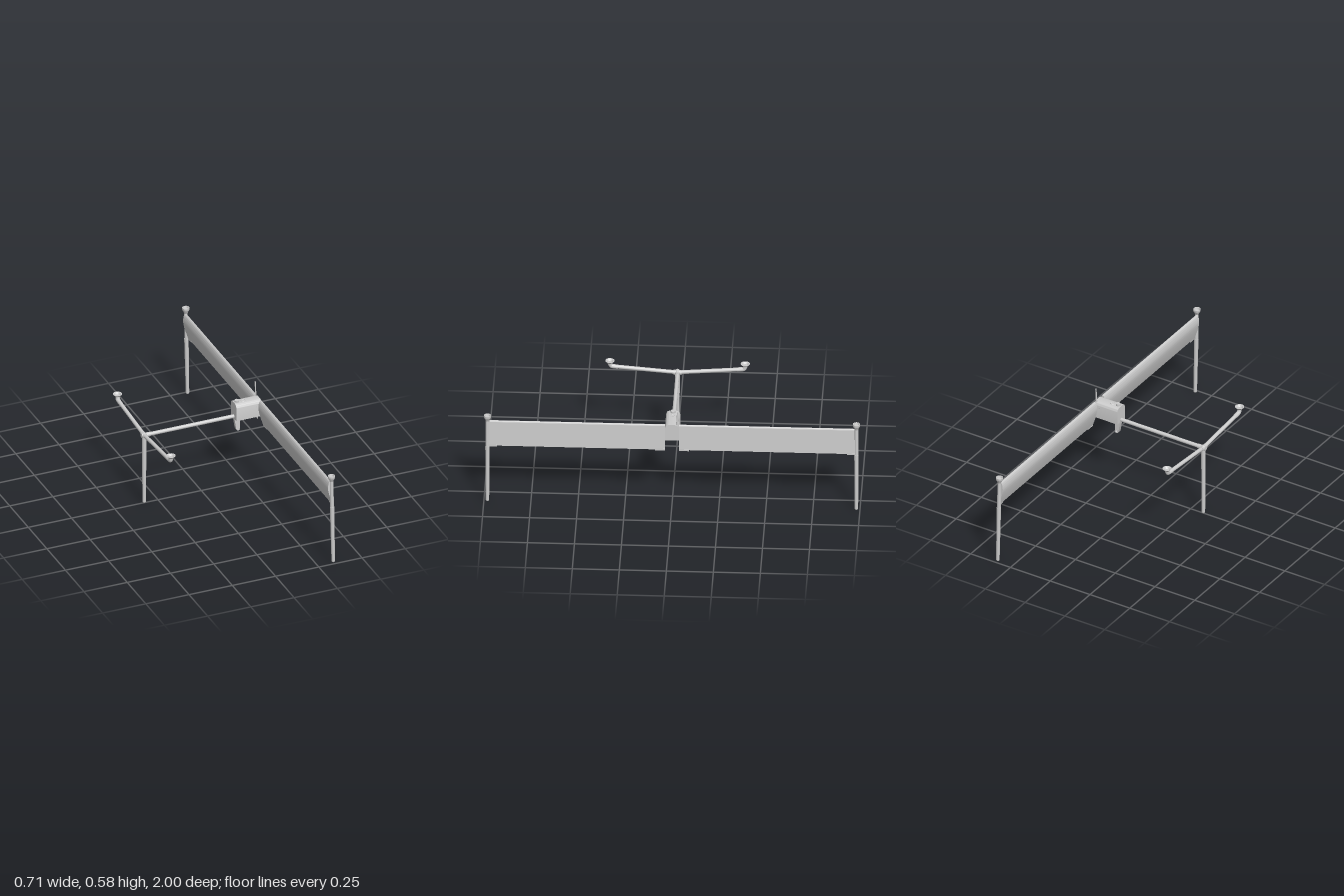
import * as THREE from 'three';
import { toCreasedNormals } from 'three/addons/utils/BufferGeometryUtils.js';

const grey = new THREE.MeshStandardMaterial({ color: 0xcccccc, side: THREE.DoubleSide });
const V = (x, y, z) => new THREE.Vector3(x, y, z);

function add(parent, name, geometry, x = 0, y = 0, z = 0) {
  const mesh = new THREE.Mesh(geometry, grey);
  mesh.name = name;
  mesh.position.set(x, y, z);
  parent.add(mesh);
  return mesh;
}

// Tapered round bar from a to b
function bar(parent, name, a, b, ra, rb, sides = 20) {
  const mesh = add(parent, name, new THREE.CylinderGeometry(rb, ra, a.distanceTo(b), sides));
  mesh.position.copy(a).add(b).multiplyScalar(0.5);
  mesh.quaternion.setFromUnitVectors(V(0, 1, 0), b.clone().sub(a).normalize());
  return mesh;
}

// Lathe from [radius, height] pairs, with crisp edges
function turned(points) {
  const g = new THREE.LatheGeometry(points.map(p => new THREE.Vector2(p[0], p[1])), 28);
  return toCreasedNormals(g, 0.6);
}

// Shape in the xy plane extruded along z from z0 to z1
function slab(shape, z0, z1) {
  const g = new THREE.ExtrudeGeometry(shape, { depth: z1 - z0, bevelEnabled: false, curveSegments: 16 });
  g.translate(0, 0, z0);
  return toCreasedNormals(g, 0.6);
}

// Wing section: rounded nose at the top, thin tail at the bottom
function wingSection() {
  const s = new THREE.Shape();
  s.moveTo(0.342, 0.348);
  s.lineTo(0.334, 0.485);
  s.quadraticCurveTo(0.334, 0.498, 0.328, 0.498);
  s.bezierCurveTo(0.317, 0.496, 0.312, 0.465, 0.314, 0.445);
  s.quadraticCurveTo(0.319, 0.41, 0.340, 0.348);
  s.closePath();
  return s;
}

export function createModel() {
  const model = new THREE.Group();
  model.name = 'tailSitterAircraft';

  // Wing panels, tip legs and motor mounts, mirrored in z
  for (const side of [1, -1]) {
    const half = new THREE.Group();
    half.name = side > 0 ? 'frontWing' : 'backWing';
    model.add(half);
    const span = (a, b) => side > 0 ? [a, b] : [-b, -a];
    const tip = side * 0.981;

    add(half, 'wingPanel', slab(wingSection(), ...span(0.038, 0.976)));
    for (const [a, b] of [[0.038, 0.09], [0.93, 0.976]]) {
      const length = b - a;
      add(half, 'trailingEdgeTab', new THREE.BoxGeometry(0.003, 0.012, length), 0.3415, 0.348, side * (a + b) / 2);
    }

    bar(half, 'upperLeg', V(0.335, 0.33, tip), V(0.3315, 0.515, tip), 0.0105, 0.0095);
    bar(half, 'lowerLeg', V(0.3415, 0.0095, tip), V(0.335, 0.34, tip), 0.0095, 0.012);
    add(half, 'foot', new THREE.SphereGeometry(0.0095, 20, 12), 0.3415, 0.0095, tip);
    const mount = add(half, 'motorMount', turned([
      [0, 0], [0.0095, 0], [0.012, 0.008], [0.0185, 0.020], [0.0195, 0.022],
      [0.0195, 0.034], [0.016, 0.034], [0.013, 0.024], [0, 0.024]
    ]), 0.3318, 0.496, tip);
    mount.rotation.z = 0.019;
  }

  // Body with rounded top corners
  const section = new THREE.Shape();
  section.moveTo(-0.038, 0.401);
  section.lineTo(0.038, 0.401);
  section.lineTo(0.038, 0.472);
  section.quadraticCurveTo(0.036, 0.496, 0.014, 0.497);
  section.lineTo(-0.014, 0.497);
  section.quadraticCurveTo(-0.036, 0.496, -0.038, 0.472);
  section.closePath();
  const bodyGeometry = slab(section, 0, 0.146);
  bodyGeometry.rotateY(Math.PI / 2);
  add(model, 'body', bodyGeometry, 0.187);

  // Button, flush port and side screws on the body
  add(model, 'topButton', new THREE.CylinderGeometry(0.0125, 0.0125, 0.016, 24), 0.205, 0.5, 0);
  add(model, 'topPort', new THREE.TorusGeometry(0.011, 0.0015, 8, 24).rotateX(Math.PI / 2), 0.241, 0.497, 0);
  for (const z of [0.038, -0.038]) for (const y of [0.41, 0.464]) {
    add(model, 'sideScrew', new THREE.CylinderGeometry(0.003, 0.003, 0.002, 12).rotateX(Math.PI / 2), 0.303, y, z);
  }

  // Antenna blade
  const antenna = bar(model, 'antenna', V(0.325, 0.485, -0.026), V(0.326, 0.575, -0.031), 0.004, 0.0032, 12);
  antenna.scale.z = 1.4;
  add(model, 'antennaTip', new THREE.SphereGeometry(0.0034, 12, 8), 0.326, 0.5745, -0.031);

  // Bracket with an eyelet below the body
  const hook = new THREE.Shape();
  hook.moveTo(0.187, 0.402);
  hook.lineTo(0.197, 0.338);
  hook.quadraticCurveTo(0.199, 0.326, 0.210, 0.326);
  hook.quadraticCurveTo(0.220, 0.326, 0.220, 0.336);
  hook.lineTo(0.220, 0.402);
  hook.closePath();
  hook.holes.push(new THREE.Path().absarc(0.210, 0.337, 0.005, 0, Math.PI * 2, true));
  add(model, 'bracket', slab(hook, -0.011, 0.011));
  add(model, 'bracketPad', new THREE.BoxGeometry(0.056, 0.004, 0.026), 0.215, 0.4, 0);

  // Tail boom, junction and rear leg
  const tx = -0.33, ty = 0.413;
  bar(model, 'boom', V(tx, ty, 0), V(0.19, ty, 0), 0.0105, 0.0105);
  bar(model, 'boomSocket', V(-0.346, ty, 0), V(-0.298, ty, 0), 0.0125, 0.0125);
  bar(model, 'junctionSleeve', V(tx, ty, -0.022), V(tx, ty, 0.022), 0.0135, 0.0135);
  add(model, 'junction', new THREE.SphereGeometry(0.0155, 20, 14), tx, ty, 0);
  bar(model, 'rearLeg', V(tx, 0.01, 0), V(tx, ty, 0), 0.0098, 0.0122);
  add(model, 'rearFoot', new THREE.SphereGeometry(0.0098, 20, 12), tx, 0.0098, 0);

  // Raised tail arms with curved ends and flared motor mounts
  for (const side of [1, -1]) {
    const end = V(tx, 0.441, side * 0.335);
    bar(model, 'tailArm', V(tx, ty, 0), end, 0.0105, 0.0105);
    const bend = new THREE.CatmullRomCurve3([
      V(tx, 0.4395, side * 0.315), end, V(tx, 0.446, side * 0.354), V(tx, 0.464, side * 0.36)
    ]);
    add(model, 'tailElbow', new THREE.TubeGeometry(bend, 16, 0.0118, 18));
    add(model, 'tailMotorMount', turned([
      [0, 0], [0.0118, 0], [0.0125, 0.005], [0.0245, 0.0175], [0.0245, 0.019],
      [0.019, 0.019], [0.010, 0.010], [0, 0.010]
    ]), tx, 0.458, side * 0.36);
  }

  return model;
}
